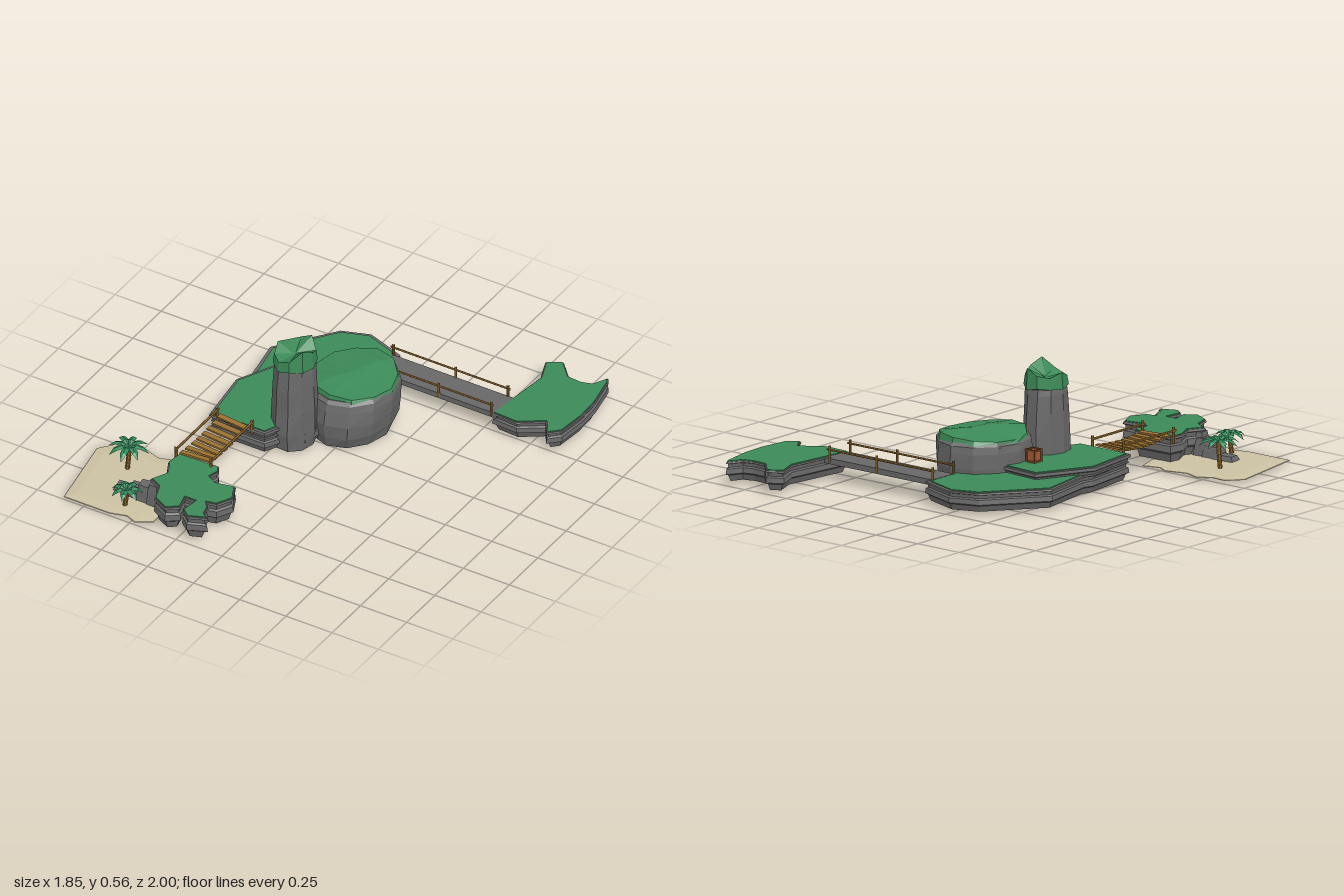
import * as THREE from 'three';

const mat = (color, side = THREE.FrontSide) => new THREE.MeshStandardMaterial({ color, flatShading: true, side });
const ROCK = mat(0x686868), GRASS = mat(0x3c8a58), WOOD = mat(0x9a7030), SAND = mat(0xcbc1a2);
const LEAF = mat(0x2f8a5a, THREE.DoubleSide), CRATE = mat(0xa05a34), TRIM = mat(0x7a4426);

let seed = 7;
const rand = () => (seed = (seed * 16807) % 2147483647) / 2147483647;

function add(parent, name, geometry, material, x = 0, y = 0, z = 0) {
  const mesh = new THREE.Mesh(geometry, material);
  mesh.name = name;
  mesh.position.set(x, y, z);
  parent.add(mesh);
  return mesh;
}

// Skin a stack of rings (counter-clockwise from above, lowest first) and close both ends
function loft(rings) {
  const pos = [];
  const tri = (...p) => p.forEach(v => pos.push(v.x, v.y, v.z));
  const n = rings[0].length;
  for (let r = 0; r < rings.length - 1; r++) {
    for (let i = 0; i < n; i++) {
      const j = (i + 1) % n, a = rings[r], b = rings[r + 1];
      tri(a[i], a[j], b[j]);
      tri(a[i], b[j], b[i]);
    }
  }
  const cap = (ring, up) => {
    const faces = THREE.ShapeUtils.triangulateShape(ring.map(p => new THREE.Vector2(p.x, -p.z)), []);
    for (const [a, b, c] of faces) up ? tri(ring[a], ring[b], ring[c]) : tri(ring[a], ring[c], ring[b]);
  };
  cap(rings[0], false);
  cap(rings[rings.length - 1], true);
  const g = new THREE.BufferGeometry();
  g.setAttribute('position', new THREE.Float32BufferAttribute(pos, 3));
  g.computeVertexNormals();
  return g;
}

// Shrink an x,z outline by a distance and lift it to height y
function insetRing(outline, d, y) {
  let pts = outline.map(([x, z]) => new THREE.Vector2(x, -z));
  if (THREE.ShapeUtils.area(pts) < 0) pts.reverse();
  const n = pts.length;
  return pts.map((p, i) => {
    const e1 = p.clone().sub(pts[(i + n - 1) % n]).normalize();
    const e2 = pts[(i + 1) % n].clone().sub(p).normalize();
    const m = new THREE.Vector2(-e1.y - e2.y, e1.x + e2.x).normalize();
    const k = d / Math.max(0.6, m.x * -e1.y + m.y * e1.x);
    return new THREE.Vector3(p.x + m.x * k, y, -(p.y + m.y * k));
  });
}
const terrain = (outline, levels) => loft(levels.map(([y, d]) => insetRing(outline, d, y)));

// Layered cliff with a thin grass cap
function island(parent, name, outline, base, top, rim) {
  const h = top - base;
  const g = new THREE.Group();
  g.name = name;
  parent.add(g);
  add(g, 'cliff', terrain(outline, [[base, 0.022], [base + h * 0.3, 0.012], [base + h * 0.38, 0],
    [base + h * 0.62, 0.003], [base + h * 0.68, 0.012], [base + h * 0.84, 0.01], [base + h * 0.88, 0], [top - 0.005, 0.003]]), ROCK);
  add(g, 'grass', terrain(outline, [[top - 0.006, rim], [top, rim]]), GRASS);
}

// Irregular ring of rock: heights may vary around it
function rockRing(cx, cz, rx, rz, heights, sides, jitter) {
  return Array.from({ length: sides }, (_, i) => {
    const a = i / sides * Math.PI * 2, k = 1 - rand() * jitter;
    const y = Array.isArray(heights) ? heights[i % heights.length] : heights;
    return new THREE.Vector3(cx + Math.cos(a) * rx * k, y, cz - Math.sin(a) * rz * k);
  });
}

// Straight round bar between two points
function bar(parent, name, a, b, r) {
  const path = new THREE.LineCurve3(new THREE.Vector3(...a), new THREE.Vector3(...b));
  add(parent, name, new THREE.TubeGeometry(path, 1, r, 6), WOOD);
}

function palm(parent, x, z, height, radius, leaves, turn) {
  const g = new THREE.Group();
  g.name = 'palmTree';
  g.position.set(x, 0.012, z);
  parent.add(g);
  const rings = 6, step = height / rings;
  for (let i = 0; i < rings; i++) {
    add(g, 'trunkSegment', new THREE.CylinderGeometry(0.013, 0.009, step, 7), WOOD,
      Math.sin(i / rings * 2) * 0.008, step * (i + 0.5), 0);
  }
  // Folded frond: arching midrib with drooping edges
  const prof = [[0, 0, 0.004], [0.35, 0.022, 0.017], [0.7, 0.016, 0.016], [1, -0.012, 0.001]];
  const pos = [], idx = [];
  prof.forEach(([t, y, w]) => pos.push(t * radius, y - w * 0.4, -w, t * radius, y, 0, t * radius, y - w * 0.4, w));
  for (let s = 0; s < 3; s++) {
    for (let k = 0; k < 2; k++) {
      const a = s * 3 + k;
      idx.push(a, a + 1, a + 4, a, a + 4, a + 3);
    }
  }
  const frond = new THREE.BufferGeometry();
  frond.setAttribute('position', new THREE.Float32BufferAttribute(pos, 3));
  frond.setIndex(idx);
  frond.computeVertexNormals();
  for (let i = 0; i < leaves; i++) {
    const leaf = add(g, 'frond', frond, LEAF, 0.007, height, 0);
    leaf.rotation.y = turn + i / leaves * Math.PI * 2;
    leaf.scale.setScalar(0.9 + 0.12 * rand());
  }
}

export function createModel() {
  const model = new THREE.Group();
  model.name = 'islands';

  // Main island: lower ground and raised terrace
  island(model, 'mainIsland', [[-0.25, -0.73], [-0.39, -0.68], [-0.6, -0.4], [-0.55, -0.11], [-0.565, -0.06], [-0.53, 0.235],
    [-0.24, 0.235], [-0.2, 0.16], [-0.1, 0.1], [-0.05, -0.2], [-0.05, -0.66]], 0.015, 0.11, 0.02);
  const terrace = [[-0.44, -0.335], [-0.575, -0.06], [-0.537, 0.24], [-0.235, 0.24], [-0.2, 0.16], [-0.12, 0.08], [-0.12, -0.305]];
  add(model, 'terraceRock', terrain(terrace, [[0.09, 0.016], [0.118, 0.01], [0.124, 0], [0.138, 0.002]]), ROCK);
  add(model, 'terraceGrass', terrain(terrace, [[0.136, 0.016], [0.143, 0.016]]), GRASS);

  // East island
  island(model, 'eastIsland', [[0.55, -0.955], [0.625, -1], [0.705, -0.915], [0.775, -0.91], [0.825, -0.925], [0.865, -1],
    [0.885, -0.97], [0.917, -0.8], [0.922, -0.68], [0.905, -0.53], [0.85, -0.475], [0.8, -0.55], [0.69, -0.475],
    [0.553, -0.483], [0.572, -0.65], [0.595, -0.84]], 0.015, 0.115, 0.008);

  // Small front island
  island(model, 'frontIsland', [[-0.49, 0.58], [-0.28, 0.57], [-0.255, 0.61], [-0.27, 0.66], [-0.225, 0.685], [-0.13, 0.665],
    [-0.088, 0.755], [-0.13, 0.835], [-0.175, 0.845], [-0.15, 0.875], [-0.14, 0.92], [-0.107, 0.95], [-0.2, 0.99],
    [-0.247, 0.95], [-0.235, 0.865], [-0.28, 0.865], [-0.26, 0.94], [-0.32, 0.985], [-0.405, 0.94], [-0.435, 0.855],
    [-0.5, 0.82], [-0.46, 0.74], [-0.5, 0.66]], 0.018, 0.145, 0.008);

  // Beach
  add(model, 'beach', terrain([[-0.93, 0.59], [-0.87, 0.515], [-0.79, 0.52], [-0.735, 0.475], [-0.65, 0.505], [-0.54, 0.475],
    [-0.49, 0.505], [-0.4, 0.48], [-0.36, 0.6], [-0.4, 0.75], [-0.4, 0.95], [-0.475, 0.998], [-0.53, 0.975], [-0.61, 0.998],
    [-0.86, 0.998]], [[0.01, 0], [0.013, 0.003], [0.016, 0.03], [0.018, 0.05]]), SAND);

  // Rock steps from beach to front island
  [[-0.645, 0.1, 0.04, 0.8], [-0.575, 0.08, 0.07, 0.805], [-0.525, 0.08, 0.1, 0.81], [-0.475, 0.06, 0.125, 0.815]].forEach(([x, w, h, z], i) => {
    const half = w / 2;
    add(model, 'rockStep', terrain([[x - half, z - 0.025], [x - half + 0.01, z + 0.035], [x + half, z + 0.035],
      [x + half + 0.01, z - 0.03 - i * 0.004]], [[0.012, -0.006], [h * 0.7, 0], [h, 0.006]]), ROCK);
  });

  // Large boulder with grass top
  add(model, 'boulder', loft([[0, 0.19, 0.225], [0.06, 0.212, 0.25], [0.13, 0.222, 0.258], [0.2, 0.22, 0.25], [0.235, 0.217, 0.24], [0.25, 0.205, 0.225]]
    .map(([y, rx, rz]) => rockRing(-0.045, -0.215 - y * 0.07, rx, rz, y, 12, 0.05))), ROCK);
  add(model, 'boulderGrass', loft([
    rockRing(-0.043, -0.235, 0.212, 0.226, [0.238, 0.225, 0.243, 0.23], 12, 0.02),
    rockRing(-0.043, -0.235, 0.202, 0.216, [0.252, 0.262, 0.275, 0.272, 0.262, 0.256], 12, 0.03),
    rockRing(-0.03, -0.26, 0.11, 0.12, [0.268, 0.276, 0.288, 0.282, 0.272, 0.266], 12, 0.06),
    rockRing(-0.02, -0.26, 0.01, 0.01, 0.282, 12, 0)]), GRASS);

  // Tall pillar with jagged grass crown
  add(model, 'pillar', loft([[0.015, 0.104, 0.122], [0.1, 0.11, 0.13], [0.22, 0.11, 0.125], [0.34, 0.104, 0.118], [0.42, 0.1, 0.11], [0.46, 0.094, 0.102]]
    .map(([y, rx, rz]) => rockRing(-0.192, 0.045, rx, rz, y, 10, 0.06))), ROCK);
  add(model, 'pillarGrass', loft([
    rockRing(-0.192, 0.042, 0.102, 0.112, [0.445, 0.455, 0.44, 0.455, 0.45], 10, 0.02),
    rockRing(-0.192, 0.04, 0.095, 0.106, [0.53, 0.5, 0.545, 0.515, 0.505, 0.525, 0.5, 0.49, 0.51, 0.562], 10, 0.02),
    rockRing(-0.192, 0.04, 0.008, 0.008, 0.49, 10, 0)]), GRASS);

  // Crate
  add(model, 'crate', new THREE.BoxGeometry(0.048, 0.052, 0.048), CRATE, -0.292, 0.171, -0.167);
  for (const sx of [-1, 1]) {
    for (const s of [-1, 1]) {
      add(model, 'crateEdge', new THREE.BoxGeometry(0.01, 0.06, 0.01), TRIM, -0.292 + sx * 0.023, 0.173, -0.167 + s * 0.023);
      add(model, 'crateEdge', new THREE.BoxGeometry(0.056, 0.009, 0.009), TRIM, -0.292, 0.173 + sx * 0.026, -0.167 + s * 0.024);
      add(model, 'crateEdge', new THREE.BoxGeometry(0.009, 0.009, 0.056), TRIM, -0.292 + s * 0.024, 0.173 + sx * 0.026, -0.167);
    }
  }

  // Stone bridge with wooden railings
  add(model, 'stoneDeck', new THREE.BoxGeometry(0.65, 0.027, 0.15), ROCK, 0.25, 0.098, -0.561);
  for (const z of [-0.636, -0.487]) {
    bar(model, 'bridgeRail', [-0.09, 0.153, z], [0.56, 0.153, z], 0.005);
    for (const x of [-0.075, 0.262, 0.545]) bar(model, 'bridgePost', [x, 0.09, z], [x, 0.173, z], 0.006);
  }

  // Hanging plank bridge
  for (const x of [-0.496, -0.308]) {
    bar(model, 'ropeRail', [x, 0.172, 0.22], [x, 0.172, 0.61], 0.006);
    for (const z of [0.235, 0.595]) bar(model, 'ropePost', [x, 0.11, z], [x, 0.19, z], 0.007);
  }
  for (let i = 0; i < 8; i++) {
    const t = i / 7;
    const plank = add(model, 'plank', new THREE.BoxGeometry(0.16, 0.009, 0.028), WOOD,
      -0.405, 0.146 - 0.05 * t * (1 - t), 0.245 + t * 0.32);
    plank.rotation.y = (rand() - 0.5) * 0.2;
    plank.rotation.x = (t - 0.5) * -0.2;
  }

  // Palms
  palm(model, -0.72, 0.66, 0.13, 0.105, 8, 0.2);
  palm(model, -0.58, 0.91, 0.09, 0.08, 7, 0.5);

  return model;
}
